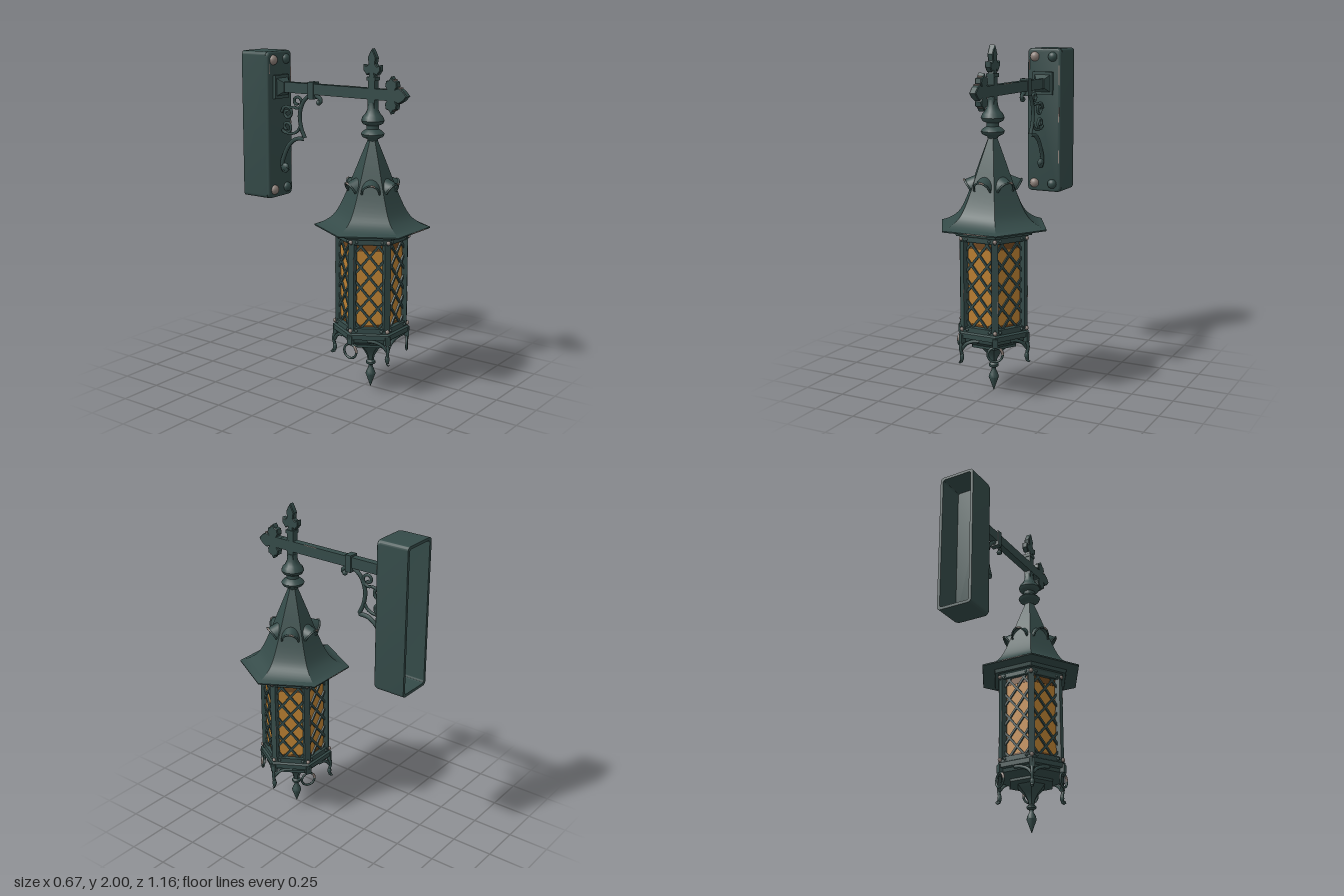
import * as THREE from 'three';
import { toCreasedNormals } from 'three/addons/utils/BufferGeometryUtils.js';

const mat = (name, color, side = THREE.FrontSide) => {
  const m = new THREE.MeshStandardMaterial({ color, side });
  m.name = name;
  return m;
};
const V = (x, y, z) => new THREE.Vector3(x, y, z);
const V2 = (p) => new THREE.Vector2(p[0], p[1]);

export function createModel() {
  const iron = mat('dark green iron', 0x344a48);
  const ironSheet = mat('dark green iron sheet', 0x344a48, THREE.DoubleSide);
  const worn = mat('worn bare metal', 0x8c7f78);
  const amber = mat('amber glass', 0xbb8032);
  const brown = mat('smoked glass edge', 0x70481f);

  const model = new THREE.Group();
  model.name = 'wallLantern';
  const lantern = new THREE.Group();
  lantern.name = 'lantern';
  lantern.position.z = 0.29;
  model.add(lantern);

  const add = (parent, name, geo, m, x = 0, y = 0, z = 0) => {
    const mesh = new THREE.Mesh(geo, m);
    mesh.name = name;
    mesh.position.set(x, y, z);
    parent.add(mesh);
    return mesh;
  };
  const box = (parent, name, m, w, h, d, x, y, z) =>
    add(parent, name, new THREE.BoxGeometry(w, h, d), m, x, y, z);
  // Profile swept round the axis; six sides put corners on the x axis
  const lathe = (name, pts, sides = 6) => add(lantern, name, toCreasedNormals(
    new THREE.LatheGeometry(pts.map(V2), sides, Math.PI / 6), sides === 6 ? 0.4 : 0.7), iron);
  const tube = (parent, name, pts, r, m = iron) => add(parent, name, new THREE.TubeGeometry(
    new THREE.CatmullRomCurve3(pts), pts.length * 5, r, 6), m);
  // Outline in (z, y), extruded across x
  const sidePlate = (parent, name, pts, width, z, y) => {
    const g = new THREE.ExtrudeGeometry(new THREE.Shape(pts.map(V2)),
      { depth: width - 0.01, bevelSize: 0.004, bevelThickness: 0.005, bevelSegments: 1 });
    g.translate(0, 0, -(width - 0.01) / 2).rotateY(-Math.PI / 2);
    return add(parent, name, g, iron, 0, y, z);
  };

  // Roof: flared six-sided spire with soffit ring
  const slope = new THREE.SplineCurve([[0.335, 0.992], [0.28, 1.012], [0.225, 1.05], [0.185, 1.11],
    [0.14, 1.21], [0.085, 1.35], [0.024, 1.5]].map(V2)).getPoints(18).map((p) => [p.x, p.y]);
  lathe('roof', [[0.001, 0.955], [0.245, 0.955], [0.25, 0.977], [0.315, 0.985], [0.333, 0.984], ...slope]);

  // Turned cap and post above the roof
  lathe('roofCap', [[0.02, 1.47], [0.032, 1.495], [0.06, 1.508], [0.068, 1.525], [0.055, 1.54],
    [0.036, 1.552], [0.036, 1.572], [0.058, 1.582], [0.067, 1.6], [0.058, 1.622], [0.045, 1.635],
    [0.032, 1.66], [0.026, 1.7], [0.001, 1.7]], 16);
  box(lantern, 'topPost', iron, 0.04, 0.2, 0.045, 0, 1.74, 0);
  box(lantern, 'topPostCollar', iron, 0.05, 0.02, 0.055, 0, 1.835, 0);

  // Lily-shaped finial
  const half = [[0.018, 1.84], [0.014, 1.868], [0.034, 1.858], [0.053, 1.882], [0.054, 1.908], [0.034, 1.9],
    [0.018, 1.915], [0.024, 1.95], [0.012, 1.975]];
  const mirrored = (pts) => pts.map(([a, b]) => [-a, b]).reverse();
  sidePlate(lantern, 'lilyFinial', [...half, [0, 1.996], ...mirrored(half)], 0.036, 0, 0);

  // Arched vent hoods, one on each roof face
  const lipArc = (t) => V(0.05 * Math.cos(t), 1.2 + 0.052 * Math.sin(t), 0.128 + 0.034 * Math.sin(t));
  const backArc = (t) => V(0.058 * Math.cos(t), 1.197 + 0.083 * Math.sin(t), 0.122 - 0.03 * Math.sin(t));
  for (let i = 0; i < 6; i++) {
    const vent = new THREE.Group();
    vent.name = 'roofVent';
    vent.rotation.y = i * Math.PI / 3;
    lantern.add(vent);
    const pos = [], idx = [], lip = [];
    for (let k = 0; k <= 12; k++) {
      const t = k / 12 * Math.PI;
      lip.push(lipArc(t));
      pos.push(...backArc(t).toArray(), ...lipArc(t).toArray());
      if (k < 12) idx.push(2 * k, 2 * k + 1, 2 * k + 2, 2 * k + 1, 2 * k + 3, 2 * k + 2);
    }
    const g = new THREE.BufferGeometry();
    g.setAttribute('position', new THREE.Float32BufferAttribute(pos, 3));
    g.setIndex(idx);
    g.computeVertexNormals();
    add(vent, 'ventHood', g, ironSheet);
    tube(vent, 'ventLip', lip, 0.006);
    tube(vent, 'ventLipWear', lip.slice(4, 7).map((p) => p.add(V(0, 0.002, 0.002))), 0.0058, worn);
  }

  // Frame rims above and below the glass
  lathe('upperRim', [[0.15, 0.918], [0.212, 0.918], [0.216, 0.925], [0.216, 0.945], [0.225, 0.957], [0.15, 0.957]]);
  lathe('lowerRim', [[0.13, 0.298], [0.2, 0.335], [0.205, 0.355], [0.226, 0.36], [0.226, 0.388], [0.212, 0.395],
    [0.212, 0.425], [0.19, 0.43], [0.1, 0.43]]);
  lathe('baseFunnel', [[0.001, 0.15], [0.018, 0.17], [0.024, 0.2], [0.045, 0.235], [0.075, 0.265], [0.09, 0.285],
    [0.145, 0.29], [0.145, 0.305], [0.1, 0.32]]);
  lathe('dropFinial', [[0.001, 0.004], [0.012, 0.035], [0.03, 0.085], [0.024, 0.105], [0.012, 0.13], [0.014, 0.142],
    [0.028, 0.15], [0.028, 0.163], [0.015, 0.175], [0.012, 0.19]], 12);

  // Window panels: glass plate with diagonal lattice
  const y0 = 0.42, y1 = 0.925, w = 0.088, s = 1.22, step = 0.122;
  for (let i = 0; i < 6; i++) {
    const panel = new THREE.Group();
    panel.name = 'windowPanel';
    panel.rotation.y = i * Math.PI / 3;
    lantern.add(panel);
    box(panel, 'glass', amber, 0.19, y1 - y0, 0.006, 0, (y0 + y1) / 2, 0.159);
    box(panel, 'smokedTop', brown, 0.185, 0.045, 0.002, 0, 0.9, 0.163);
    box(panel, 'smokedBottom', brown, 0.185, 0.015, 0.002, 0, 0.435, 0.163);
    for (const d of [-1, 1]) {
      box(panel, 'smokedSide', brown, 0.014, 0.46, 0.002, d * 0.079, 0.66, 0.163);
      for (let c = y0 - step / 2; c < y1 + 0.12; c += step) {
        const a = Math.max(-w, (y0 - c) / s), b = Math.min(w, (y1 - c) / s);
        if (b - a < 0.01) continue;
        const bar = box(panel, 'latticeBar', iron, (b - a) * Math.hypot(1, s), 0.013, 0.01,
          d * (a + b) / 2, c + s * (a + b) / 2, 0.168);
        bar.rotation.z = d * Math.atan(s);
      }
    }
  }

  // Corner posts with studs, rings and pendants alternating below
  for (let i = 0; i < 6; i++) {
    const corner = new THREE.Group();
    corner.name = 'corner';
    corner.rotation.y = Math.PI / 6 + i * Math.PI / 3;
    lantern.add(corner);
    box(corner, 'cornerPost', iron, 0.038, 0.52, 0.03, 0, 0.67, 0.194);
    box(corner, 'postWear', worn, 0.004, 0.07, 0.002, 0.017, 0.56 + 0.06 * i % 0.25, 0.2095);
    for (const y of [0.41, 0.935]) {
      add(corner, 'stud', new THREE.SphereGeometry(0.012, 10, 6), worn, 0, y, 0.213);
      for (const d of [-1, 1])
        add(corner, 'sideStud', new THREE.SphereGeometry(0.009, 8, 6), iron, d * 0.03, y, 0.196);
    }
    box(corner, 'cornerBracket', iron, 0.032, 0.05, 0.025, 0, 0.355, 0.212);
    if (i % 2 === 0) {
      add(corner, 'hangingRing', new THREE.TorusGeometry(0.042, 0.007, 8, 24), iron, 0, 0.288, 0.212);
      add(corner, 'ringWear', new THREE.TorusGeometry(0.042, 0.0076, 8, 8, 0.9), worn, 0, 0.288, 0.212);
    } else {
      tube(corner, 'pendantHook', [V(0, 0.36, 0.21), V(0, 0.3, 0.222), V(0, 0.25, 0.214), V(0, 0.215, 0.222),
        V(0, 0.225, 0.234)], 0.01);
      add(corner, 'pendantLeaf', new THREE.SphereGeometry(0.018, 10, 8), iron, 0, 0.245, 0.214).scale.set(0.8, 1.4, 0.7);
      for (const d of [-1, 1])
        tube(corner, 'pendantBrace', [V(0, 0.29, 0.215), V(d * 0.025, 0.325, 0.2), V(d * 0.06, 0.345, 0.178),
          V(d * 0.1, 0.352, 0.155)], 0.01);
    }
  }

  // Wall box: rounded shell, open at the back
  const roundRect = (path, hw, hh, r) => path.moveTo(-hw + r, -hh).lineTo(hw - r, -hh)
    .quadraticCurveTo(hw, -hh, hw, -hh + r).lineTo(hw, hh - r).quadraticCurveTo(hw, hh, hw - r, hh)
    .lineTo(-hw + r, hh).quadraticCurveTo(-hw, hh, -hw, hh - r).lineTo(-hw, -hh + r)
    .quadraticCurveTo(-hw, -hh, -hw + r, -hh);
  const rim = roundRect(new THREE.Shape(), 0.112, 0.44, 0.025);
  rim.holes.push(roundRect(new THREE.Path(), 0.095, 0.423, 0.015));
  add(model, 'wallBoxSides', toCreasedNormals(
    new THREE.ExtrudeGeometry(rim, { depth: 0.18, bevelEnabled: false }), 0.6), iron, 0.003, 1.52, -0.58);
  const face = new THREE.ExtrudeGeometry(roundRect(new THREE.Shape(), 0.1, 0.428, 0.02),
    { depth: 0.008, bevelSize: 0.012, bevelThickness: 0.012, bevelSegments: 3 });
  add(model, 'wallBoxFace', toCreasedNormals(face, 0.6), iron, 0.003, 1.52, -0.4);
  for (const x of [-1, 1]) for (const y of [1.13, 1.91]) {
    const bolt = add(model, 'bolt', new THREE.SphereGeometry(0.03, 14, 6, 0, Math.PI * 2, 0, Math.PI / 2),
      x < 0 ? worn : iron, x * 0.06, y, -0.381);
    bolt.rotation.x = Math.PI / 2;
    bolt.scale.y = 0.85;
  }
  // Worn paint on box edges
  for (const [x, y, h] of [[0.103, 1.8, 0.12], [0.103, 1.56, 0.09], [-0.097, 1.86, 0.06], [0.103, 1.3, 0.08]])
    box(model, 'boxEdgeWear', worn, 0.006, h, 0.004, x, y, -0.381);

  // Arm with wall mount and collar
  box(model, 'mountPlate', iron, 0.13, 0.14, 0.022, 0, 1.75, -0.372);
  const flare = new THREE.CylinderGeometry(0.038, 0.075, 0.035, 4, 1).rotateY(Math.PI / 4).rotateX(Math.PI / 2);
  add(model, 'mountFlare', toCreasedNormals(flare, 0.3), iron, 0, 1.75, -0.345);
  box(model, 'arm', iron, 0.042, 0.062, 0.75, 0, 1.75, 0.025);
  box(model, 'armCollar', iron, 0.058, 0.1, 0.038, 0, 1.742, -0.13);
  box(model, 'armWear', worn, 0.003, 0.004, 0.09, 0.02, 1.78, 0.14);

  // Cross-shaped arm end
  const crossTop = [[-0.055, 0.028], [-0.02, 0.026], [-0.035, 0.05], [-0.03, 0.075], [-0.012, 0.08], [0, 0.099],
    [0.014, 0.08], [0.033, 0.073], [0.036, 0.05], [0.024, 0.03], [0.05, 0.04], [0.075, 0.026]];
  sidePlate(model, 'armEndCross', [...crossTop, [0.1, 0], ...crossTop.map(([a, b]) => [a, -b]).reverse()],
    0.042, 0.42, 1.75);
  for (const [y, z] of [[1.833, 0.434], [1.79, 0.472], [1.67, 0.434]])
    box(model, 'crossWear', worn, 0.032, 0.012, 0.016, 0, y, z);

  // Scrollwork bracket under the arm, drawn in (z, y)
  const zy = (pts) => pts.map(([z, y]) => V(0, y, z));
  const bracket = new THREE.Group();
  bracket.name = 'scrollBracket';
  model.add(bracket);
  tube(bracket, 'upperScroll', zy([[-0.09, 1.668], [-0.073, 1.685], [-0.098, 1.707], [-0.145, 1.712], [-0.198, 1.677],
    [-0.23, 1.598], [-0.22, 1.513], [-0.193, 1.455]]), 0.012);
  tube(bracket, 'lowerScroll', zy([[-0.195, 1.45], [-0.257, 1.444], [-0.31, 1.407], [-0.347, 1.344], [-0.366, 1.28],
    [-0.347, 1.24], [-0.322, 1.262]]), 0.013);
  add(bracket, 'scrollLeaf', new THREE.SphereGeometry(0.026, 10, 8), iron, 0, 1.265, -0.343).scale.x = 0.7;
  add(bracket, 'upperCurlEnd', new THREE.SphereGeometry(0.016, 10, 8), iron, 0, 1.672, -0.09);
  const spiral = (cz, cy, r, start, turn) => {
    const pts = [];
    for (let k = 0; k <= 14; k++) {
      const a = start + turn * k / 14 * 8, q = r * (1 - 0.75 * k / 14);
      pts.push([cz + q * Math.cos(a), cy + q * Math.sin(a)]);
    }
    tube(bracket, 'innerScroll', zy(pts), 0.009);
  };
  spiral(-0.25, 1.668, 0.042, -2.2, 1);
  spiral(-0.325, 1.595, 0.042, 2.6, -1);
  spiral(-0.33, 1.512, 0.04, -2.6, 1);
  tube(bracket, 'scrollLink', zy([[-0.275, 1.634], [-0.3, 1.63], [-0.345, 1.63], [-0.368, 1.6]]), 0.009);
  tube(bracket, 'scrollStem', zy([[-0.222, 1.53], [-0.25, 1.49], [-0.3, 1.472], [-0.36, 1.485]]), 0.009);

  // Worn paint along front and back eaves
  for (const d of [-1, 1]) {
    box(lantern, 'eaveWear', worn, 0.14, 0.004, 0.004, d * 0.04, 0.989, d * 0.289);
  }
  return model;
}
